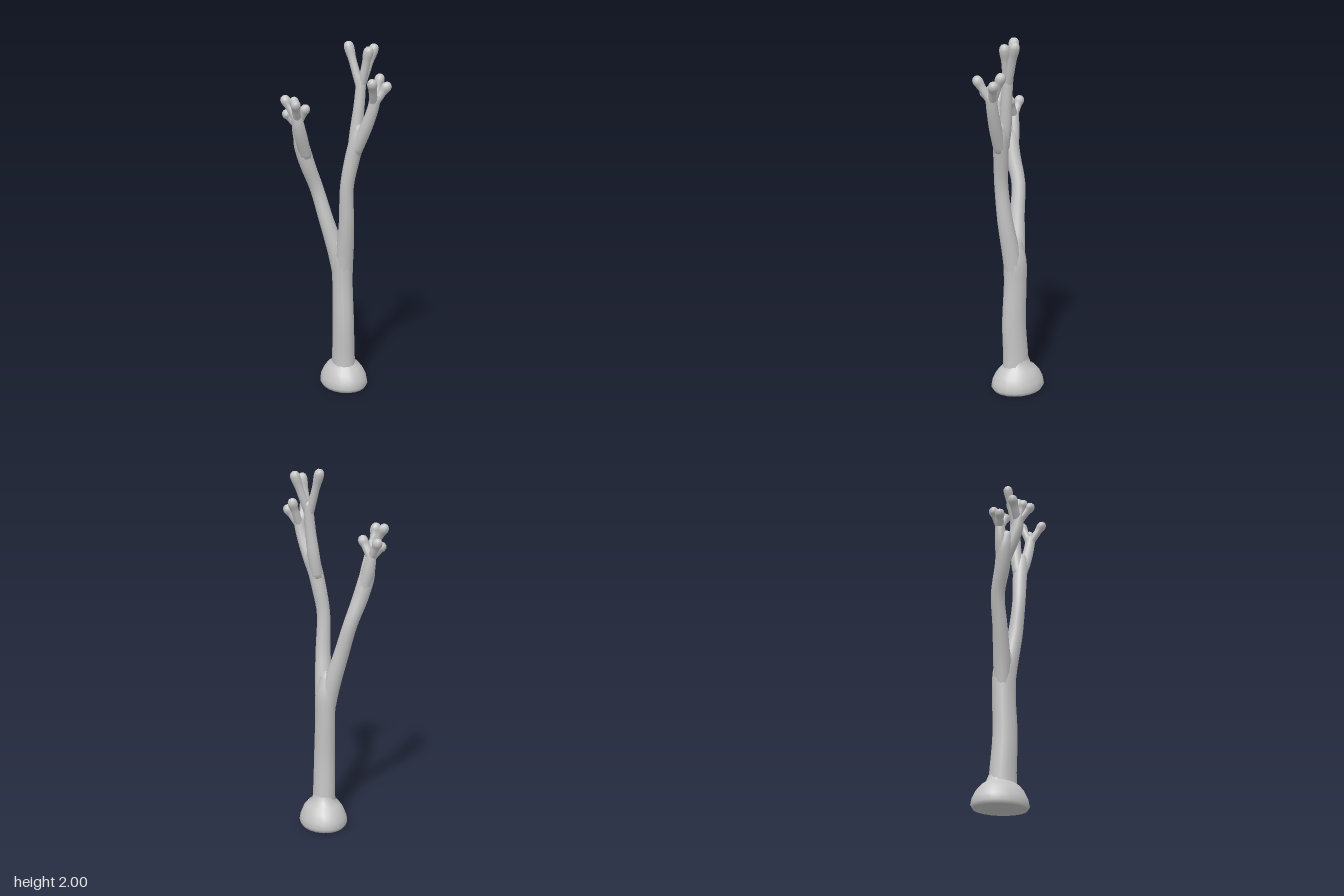
import * as THREE from 'three';

const SIDES = 12;

// Closed limb through stops [x, y, z, radius], ending in a rounded tip
function limbGeometry(stops) {
  const path = new THREE.CatmullRomCurve3(stops.map(s => new THREE.Vector3(s[0], s[1], s[2])), false, 'catmullrom');
  const width = new THREE.CatmullRomCurve3(stops.map(s => new THREE.Vector3(s[3], 0, 0)), false, 'catmullrom');
  const steps = (stops.length - 1) * 4;
  const rings = [];
  for (let i = 0; i <= steps; i++) {
    const t = i / steps;
    rings.push({ centre: path.getPoint(t), dir: path.getTangent(t), r: width.getPoint(t).x });
  }
  const end = rings[steps];
  for (const a of [0.5, 1.0]) {
    rings.push({
      centre: end.centre.clone().addScaledVector(end.dir, end.r * Math.sin(a)),
      dir: end.dir, r: end.r * Math.cos(a),
    });
  }

  const positions = [], index = [];
  for (const { centre, dir, r } of rings) {
    const u = new THREE.Vector3(1, 0, 0).addScaledVector(dir, -dir.x).normalize();
    const w = u.clone().cross(dir);
    for (let j = 0; j < SIDES; j++) {
      const a = (j / SIDES) * Math.PI * 2;
      const p = centre.clone().addScaledVector(u, r * Math.cos(a)).addScaledVector(w, r * Math.sin(a));
      positions.push(p.x, p.y, p.z);
    }
  }
  const last = (rings.length - 1) * SIDES;
  const bottom = rings.length * SIDES, top = bottom + 1;
  const tip = end.centre.clone().addScaledVector(end.dir, end.r);
  positions.push(...rings[0].centre.toArray(), ...tip.toArray());
  for (let j = 0; j < SIDES; j++) {
    const k = (j + 1) % SIDES;
    for (let i = 0; i < rings.length - 1; i++) {
      const a = i * SIDES, b = a + SIDES;
      index.push(a + j, b + j, a + k, a + k, b + j, b + k);
    }
    index.push(bottom, j, k, last + j, top, last + k);
  }
  const geometry = new THREE.BufferGeometry();
  geometry.setAttribute('position', new THREE.Float32BufferAttribute(positions, 3));
  geometry.setIndex(index);
  geometry.computeVertexNormals();
  return geometry;
}

export function createModel() {
  const model = new THREE.Group();
  model.name = 'branchingStalk';
  const grey = new THREE.MeshStandardMaterial({ color: 0xc4c4c4 });
  grey.name = 'pale grey';

  const add = (name, geometry) => {
    const mesh = new THREE.Mesh(geometry, grey);
    mesh.name = name;
    model.add(mesh);
    return mesh;
  };

  // Domed foot, oval in plan
  const profile = [[0, 0], [0.125, 0], [0.135, 0.02], [0.129, 0.055], [0.112, 0.095], [0.09, 0.125], [0.066, 0.145], [0.055, 0.18]];
  const foot = add('foot', new THREE.LatheGeometry(profile.map(p => new THREE.Vector2(...p)), 20));
  foot.scale.z = 1.18;
  foot.position.set(0.095, 0, -0.056);

  // Trunk, slightly deeper than wide
  const trunk = limbGeometry([
    [0.09, 0.08, 0, 0.068], [0.087, 0.2, 0, 0.063], [0.082, 0.4, 0.007, 0.059],
    [0.08, 0.62, 0, 0.056], [0.078, 0.76, 0, 0.056], [0.068, 0.86, 0, 0.04],
  ]);
  trunk.scale(1, 1, 1.2);
  trunk.translate(0, 0, -0.045);
  trunk.computeVertexNormals();
  add('trunk', trunk);

  // Two main limbs
  add('frontLimb', limbGeometry([
    [0.08, 0.62, -0.035, 0.046], [0.08, 0.8, -0.018, 0.05], [0.073, 1.0, 0.018, 0.043],
    [0.064, 1.2, 0.037, 0.038], [0.085, 1.35, 0.052, 0.041], [0.108, 1.47, 0.07, 0.041], [0.118, 1.53, 0.08, 0.03],
  ]));
  add('backLimb', limbGeometry([
    [0.078, 0.64, -0.055, 0.044], [0.05, 0.82, -0.073, 0.048], [0.005, 1.0, -0.105, 0.042],
    [-0.035, 1.17, -0.138, 0.039], [-0.09, 1.31, -0.138, 0.043], [-0.125, 1.42, -0.14, 0.043], [-0.145, 1.49, -0.135, 0.032],
  ]));

  // Four secondary branches
  const branches = {
    frontLowBranch: [[0.098, 1.4, 0.065, 0.034], [0.132, 1.53, 0.115, 0.034], [0.156, 1.63, 0.148, 0.031], [0.167, 1.7, 0.163, 0.03]],
    frontTallBranch: [[0.095, 1.4, 0.05, 0.032], [0.115, 1.52, 0.045, 0.034], [0.132, 1.66, 0.048, 0.03], [0.145, 1.8, 0.045, 0.027]],
    backInnerBranch: [[-0.105, 1.36, -0.13, 0.034], [-0.145, 1.47, -0.098, 0.036], [-0.168, 1.54, -0.082, 0.034], [-0.182, 1.6, -0.078, 0.029]],
    backOuterBranch: [[-0.105, 1.36, -0.145, 0.034], [-0.126, 1.45, -0.162, 0.034], [-0.136, 1.51, -0.17, 0.031], [-0.141, 1.55, -0.176, 0.026]],
  };
  for (const [name, stops] of Object.entries(branches)) add(name, limbGeometry(stops));

  // Knobbed twigs: one single and one double-lobed tip per branch
  const twigs = {
    frontLow: [[0.12, 1.79, 0.217], [0.21, 1.806, 0.132], [0.224, 1.768, 0.185]],
    frontTall: [[0.1, 1.97, -0.018], [0.215, 1.957, 0.052], [0.167, 1.945, 0.083]],
    backInner: [[-0.223, 1.685, -0.135], [-0.203, 1.683, -0.06], [-0.211, 1.67, -0.022]],
    backOuter: [[-0.108, 1.628, -0.128], [-0.158, 1.62, -0.222], [-0.188, 1.598, -0.198]],
  };
  for (const [name, tips] of Object.entries(twigs)) {
    const stops = branches[name + 'Branch'];
    const from = new THREE.Vector3(...stops[2]).lerp(new THREE.Vector3(...stops[3]), 0.6);
    tips.forEach((tip, i) => {
      const to = new THREE.Vector3(...tip);
      const at = (t, r) => [...from.clone().lerp(to, t).toArray(), r];
      add(`${name}Twig${i + 1}`, limbGeometry([at(0, 0.022), at(0.4, 0.022), at(0.7, 0.022), at(0.9, 0.027), at(1, 0.027)]));
    });
  }

  return model;
}
